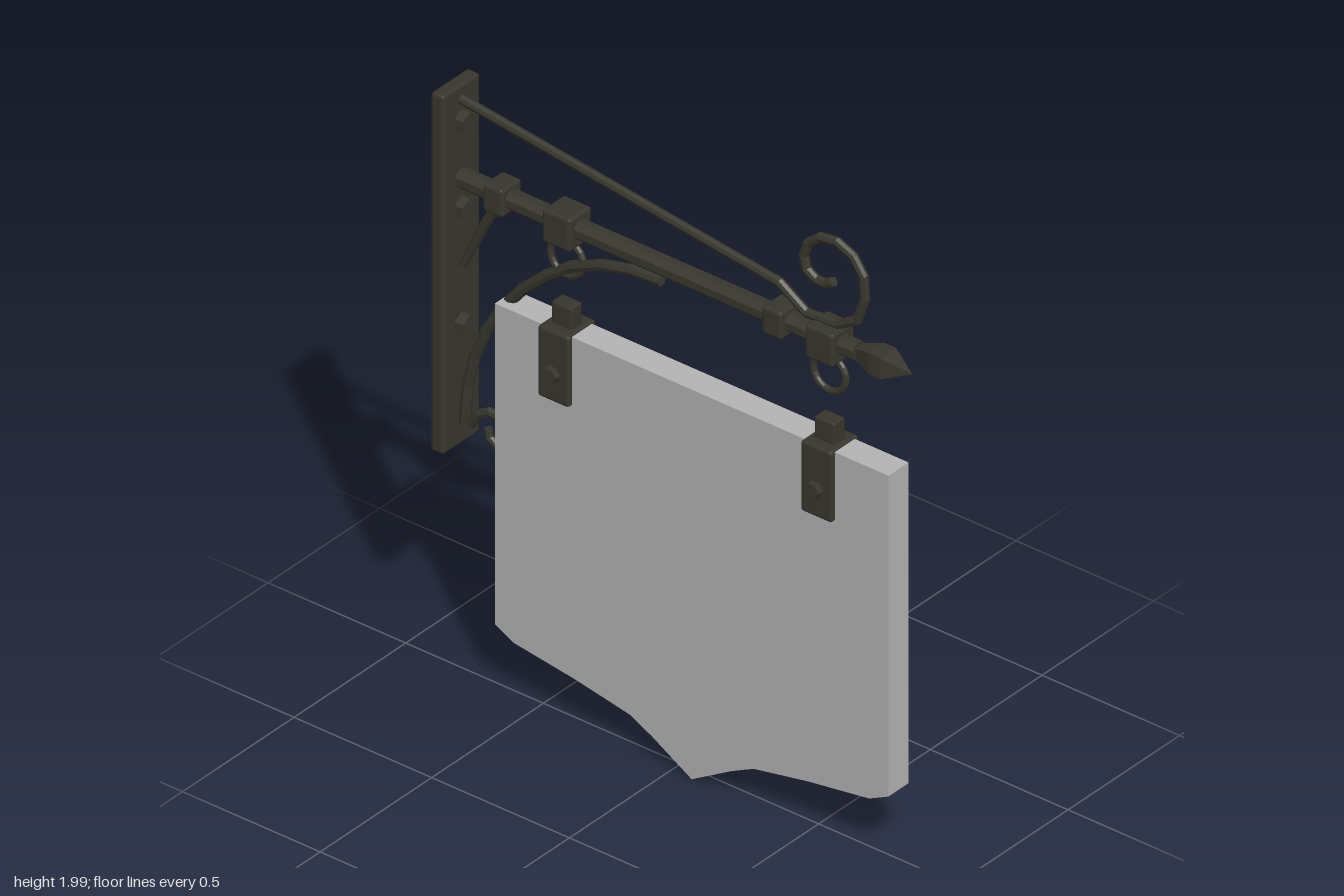
import * as THREE from 'three';
import { RoundedBoxGeometry } from 'three/addons/geometries/RoundedBoxGeometry.js';

export function createModel() {
  const model = new THREE.Group();
  model.name = 'hangingSign';
  const iron = new THREE.MeshStandardMaterial({ color: 0x38372e });
  iron.name = 'dark iron';
  const board = new THREE.MeshStandardMaterial({ color: 0xb4b4b4 });
  board.name = 'grey board';

  // faceted normals for every part
  function add(name, geometry, material = iron, parent = model) {
    const g = geometry.index ? geometry.toNonIndexed() : geometry;
    g.computeVertexNormals();
    const mesh = new THREE.Mesh(g, material);
    mesh.name = name;
    parent.add(mesh);
    return mesh;
  }
  // bevelled block, sizes and centre in x, y, z
  function block(name, w, h, d, y, z, bevel = 0.008) {
    add(name, new RoundedBoxGeometry(w, h, d, 1, bevel)).position.set(0, y, z);
  }
  // forged rod following [z, y] points, one straight piece per step
  function rod(name, points, radius, endRadius = radius) {
    const group = new THREE.Group();
    group.name = name;
    const up = new THREE.Vector3(0, 1, 0);
    const n = points.length - 1;
    for (let i = 0; i < n; i++) {
      const a = new THREE.Vector3(0, points[i][1], points[i][0]);
      const b = new THREE.Vector3(0, points[i + 1][1], points[i + 1][0]);
      const dir = b.clone().sub(a);
      const r = THREE.MathUtils.lerp(radius, endRadius, i / n);
      const piece = add(name + 'Piece', new THREE.CylinderGeometry(r, r, dir.length() + r * 0.4, 8), iron, group);
      piece.position.copy(a).add(b).multiplyScalar(0.5);
      piece.quaternion.setFromUnitVectors(up, dir.normalize());
    }
    model.add(group);
  }

  // wall plate and its bolts
  block('wallPlate', 0.166, 1.2, 0.045, 1.355, -0.82);
  for (const y of [1.84, 1.55, 1.16]) {
    add('wallBolt', new THREE.CylinderGeometry(0.036, 0.036, 0.035, 6).rotateX(Math.PI / 2))
      .position.set(0, y, -0.785);
  }

  // octagonal arm with a pointed finial
  add('arm', new THREE.CylinderGeometry(0.032, 0.032, 1.45, 8).rotateY(Math.PI / 8).rotateX(Math.PI / 2))
    .position.set(0, 1.648, -0.077);
  const tip = [[0, 0.64], [0.022, 0.64], [0.05, 0.71], [0.05, 0.752], [0, 0.84]]
    .map(([r, z]) => new THREE.Vector2(r, z));
  add('finial', new THREE.LatheGeometry(tip, 4).rotateY(Math.PI / 4).rotateX(Math.PI / 2))
    .position.y = 1.648;

  // collars round the arm
  for (const z of [0.364, -0.65]) block('collar', 0.09, 0.09, 0.07, 1.648, z);

  // hangers: block and ring above, clamp with tab and bolts on the board
  for (const z of [0.54, -0.415]) {
    block('hangerBlock', 0.1, 0.108, 0.1, 1.645, z);
    add('ring', new THREE.TorusGeometry(0.059, 0.011, 8, 20).rotateY(Math.PI / 2))
      .position.set(0, 1.533, z);
    block('clamp', 0.126, 0.235, 0.112, 1.197, z);
    block('clampTab', 0.05, 0.09, 0.072, 1.34, z, 0.005);
    add('clampBolt', new THREE.CylinderGeometry(0.026, 0.026, 0.166, 6).rotateZ(Math.PI / 2))
      .position.set(0, 1.175, z);
  }

  // stay rod ending in a large scroll
  rod('stayScroll', [[-0.8, 1.91], [0.36, 1.762], [0.456, 1.7], [0.573, 1.708], [0.642, 1.75],
    [0.668, 1.83], [0.663, 1.905], [0.626, 1.957], [0.568, 1.982], [0.509, 1.974], [0.462, 1.936],
    [0.446, 1.889], [0.456, 1.846], [0.493, 1.825], [0.525, 1.825], [0.552, 1.841]], 0.015);

  // curved brace, its foot scroll and the short strut
  rod('curvedBrace', [[-0.074, 1.594], [-0.18, 1.586], [-0.286, 1.56], [-0.393, 1.512],
    [-0.488, 1.443], [-0.578, 1.358], [-0.647, 1.273], [-0.706, 1.172], [-0.748, 1.072],
    [-0.775, 0.96], [-0.785, 0.838]], 0.018);
  rod('footScroll', [[-0.76, 0.838], [-0.732, 0.88], [-0.695, 0.902], [-0.658, 0.897],
    [-0.628, 0.87], [-0.62, 0.835], [-0.637, 0.806], [-0.668, 0.8], [-0.695, 0.816],
    [-0.7, 0.843]], 0.015, 0.012);
  rod('shortStrut', [[-0.66, 1.62], [-0.72, 1.51], [-0.79, 1.36]], 0.016);

  // hanging board with a shaped lower edge, outline in z and y
  const outline = [[0.79, 1.31], [0.79, 0.235], [0.72, 0.2], [0.5, 0.168], [0.3, 0.13],
    [0.22, 0.09], [0.075, 0.004], [-0.07, 0.09], [-0.15, 0.13], [-0.35, 0.168], [-0.57, 0.2],
    [-0.64, 0.235], [-0.64, 1.31]].map(([z, y]) => new THREE.Vector2(z, y));
  add('board', new THREE.ExtrudeGeometry(new THREE.Shape(outline), { depth: 0.09, bevelEnabled: false })
    .translate(0, 0, -0.045).rotateY(-Math.PI / 2), board);

  return model;
}
